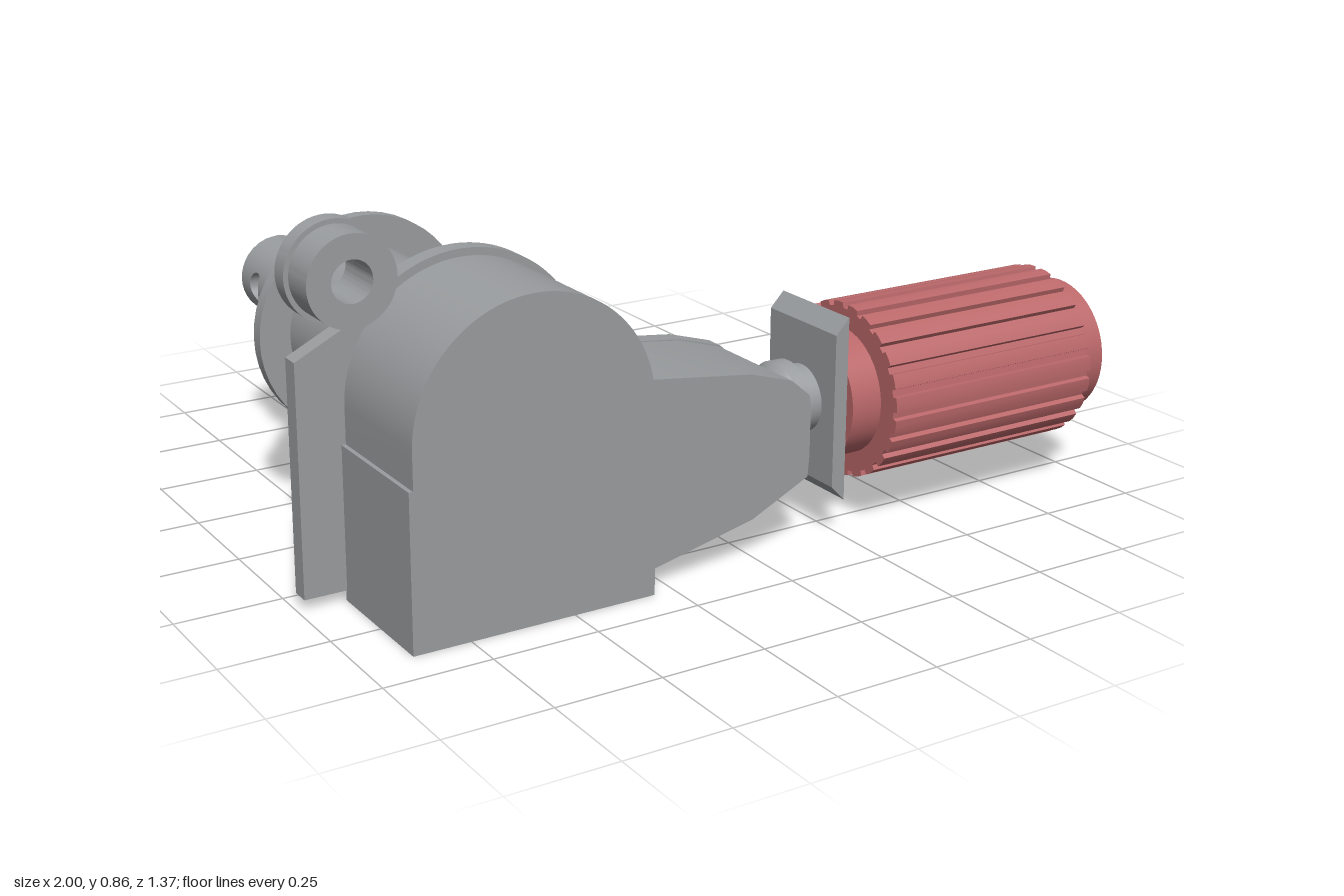
import * as THREE from 'three';
import { toCreasedNormals } from 'three/addons/utils/BufferGeometryUtils.js';
import { ParametricGeometry } from 'three/addons/geometries/ParametricGeometry.js';

const AXLE = [-0.59, 0.445]; // x, y of the spindle running along z
const KNOB = [0.31, 0.475];  // y, z of the knob axis running along x

export function createModel() {
  const metal = new THREE.MeshStandardMaterial({ color: 0x9a9d9f });
  metal.name = 'grey metal';
  const grip = new THREE.MeshStandardMaterial({ color: 0xbb686a });
  grip.name = 'red grip';

  const model = new THREE.Group();
  const add = (name, geometry, material = metal, parent = model) => {
    const mesh = new THREE.Mesh(geometry, material);
    mesh.name = name;
    parent.add(mesh);
    return mesh;
  };
  const outline = (pts) => new THREE.Shape(pts.map(([x, y]) => new THREE.Vector2(x, y)));
  const slab = (shape, z0, z1) => toCreasedNormals(
    new THREE.ExtrudeGeometry(shape, { depth: z1 - z0, bevelEnabled: false, curveSegments: 36 })
      .translate(0, 0, z0), 0.4);
  const turned = (pts) => toCreasedNormals(
    new THREE.LatheGeometry(pts.map(([r, h]) => new THREE.Vector2(r, h)), 48), 0.5);

  // Gear housing with a domed top
  const housing = outline([[-0.885, 0], [-0.3, 0], [-0.3, 0.36], [-0.301, 0.445]]);
  housing.absarc(-0.588, 0.445, 0.287, 0, Math.PI, false);
  housing.lineTo(-0.875, 0.36);
  housing.lineTo(-0.885, 0.36);
  add('housing', slab(housing, 0.33, 0.655));

  // Back plate following the dome and the arm
  const plate = outline([[-0.985, 0.025], [-0.985, 0.56], [-0.86, 0.622], [-0.84, 0.65], [-0.79, 0.735]]);
  plate.absarc(AXLE[0], AXLE[1], 0.305, 2.142, 0.13, true);
  [[-0.03, 0.453], [0.08, 0.42], [0.132, 0.375], [0.145, 0.35], [0.145, 0.23], [0.132, 0.175],
    [-0.02, 0.1], [-0.3, 0.035], [-0.3, 0.025]].forEach(([x, y]) => plate.lineTo(x, y));
  add('backPlate', slab(plate, 0.29, 0.335));

  // Tapered arm that carries the knob
  add('arm', slab(outline([[-0.35, 0.03], [-0.3, 0.04], [-0.02, 0.105], [0.13, 0.178],
    [0.134, 0.23], [0.134, 0.35], [0.13, 0.373], [0.08, 0.416], [-0.03, 0.45], [-0.3, 0.485],
    [-0.35, 0.485]]), 0.33, 0.622));

  // Mounting eye
  const ring = (r, hole) => {
    const s = new THREE.Shape().absarc(-0.887, 0.743, r, 0, Math.PI * 2, false);
    s.holes.push(new THREE.Path().absarc(-0.887, 0.743, hole, 0, Math.PI * 2, true));
    return s;
  };
  add('mountingEye', slab(ring(0.113, 0.047), 0.29, 0.335));
  add('mountingEyeBoss', slab(ring(0.102, 0.047), 0.335, 0.425));

  // Spindle assembly, running backwards from the housing
  const spindle = new THREE.Group();
  spindle.name = 'spindle';
  spindle.position.set(AXLE[0], AXLE[1], 0);
  model.add(spindle);
  add('sleeve', turned([[0.19, -0.3], [0.19, 0.17], [0.266, 0.17], [0.266, 0.205], [0.19, 0.205],
    [0.19, 0.32], [0, 0.32]]).rotateX(-Math.PI / 2), metal, spindle);
  add('washerFront', new THREE.RingGeometry(0.18, 0.266, 48).translate(0, 0, -0.17), metal, spindle);
  add('hexNut', toCreasedNormals(new THREE.CylinderGeometry(0.22, 0.22, 0.065, 6), 0.5)
    .rotateX(-Math.PI / 2).translate(0, 0, -0.2375), metal, spindle);

  // Shaft section with a round cross hole: curved wall on each side, bore and end disc
  const boredSection = (name, R, z0, z1, holeZ, holeR) => {
    const rim = (t) => Math.asin(holeR * Math.sin(t) / R);
    for (const side of [1, -1]) {
      add(name + 'Wall', new ParametricGeometry((u, v, p) => {
        const t = side * u * Math.PI * 2, c = Math.cos(t), s = Math.sin(t);
        const m = Math.max(Math.abs(c), Math.abs(s));
        const z = THREE.MathUtils.lerp(holeZ + holeR * c, (z0 + z1) / 2 + (c / m) * (z1 - z0) / 2, v);
        const a = THREE.MathUtils.lerp(rim(t), (s / m) * Math.PI / 2, v);
        p.set(side * R * Math.cos(a), R * Math.sin(a), z);
      }, 64, 12), metal, spindle);
    }
    add(name + 'Bore', new ParametricGeometry((u, v, p) => {
      const t = u * Math.PI * 2;
      p.set((2 * v - 1) * R * Math.cos(rim(t)), holeR * Math.sin(t), holeZ + holeR * Math.cos(t));
    }, 64, 1), metal, spindle);
    add(name + 'End', new THREE.CircleGeometry(R, 48).rotateY(Math.PI).translate(0, 0, z0), metal, spindle);
  };
  boredSection('shaft', 0.113, -0.55, -0.32, -0.475, 0.036);
  boredSection('shaftTip', 0.1, -0.685, -0.55, -0.595, 0.036);

  // Knob assembly, running to +x
  const knob = new THREE.Group();
  knob.name = 'knob';
  knob.position.set(0, KNOB[0], KNOB[1]);
  model.add(knob);
  add('knobStem', turned([[0, 0.09], [0.05, 0.1], [0.08, 0.118], [0.097, 0.14], [0.097, 0.175],
    [0.08, 0.175], [0.08, 0.22], [0.06, 0.22], [0.06, 0.7], [0, 0.7]]).rotateZ(-Math.PI / 2), metal, knob);

  // Square guard with a chamfered rim
  const guard = new THREE.BoxGeometry(0.035, 0.44, 0.255).translate(0.2325, 0, 0);
  const gp = guard.attributes.position;
  for (let i = 0; i < gp.count; i++) {
    if (gp.getX(i) < 0.23) gp.setY(i, Math.sign(gp.getY(i)) * 0.183);
  }
  guard.computeVertexNormals();
  add('guard', guard, metal, knob);

  // Grip core with stepped ends and a counterbore
  add('gripCore', turned([[0.06, 0.25], [0.152, 0.25], [0.152, 0.5], [0.165, 0.5], [0.165, 1],
    [0.095, 1], [0.095, 0.72], [0.06, 0.72]]).rotateZ(-Math.PI / 2), grip, knob);

  // Ribbed grip barrel
  const teeth = 24, barrelPts = [];
  for (let i = 0; i < teeth; i++) {
    for (const [f, r] of [[0, 0.198], [0.3, 0.198], [0.34, 0.21], [0.65, 0.211], [0.96, 0.21]]) {
      const a = (i + f) / teeth * Math.PI * 2;
      barrelPts.push([r * Math.cos(a), r * Math.sin(a)]);
    }
  }
  const barrel = outline(barrelPts);
  barrel.holes.push(new THREE.Path().absarc(0, 0, 0.14, 0, Math.PI * 2, true));
  add('gripBarrel', slab(barrel, 0.33, 0.92).rotateY(Math.PI / 2), grip, knob);

  return model;
}
